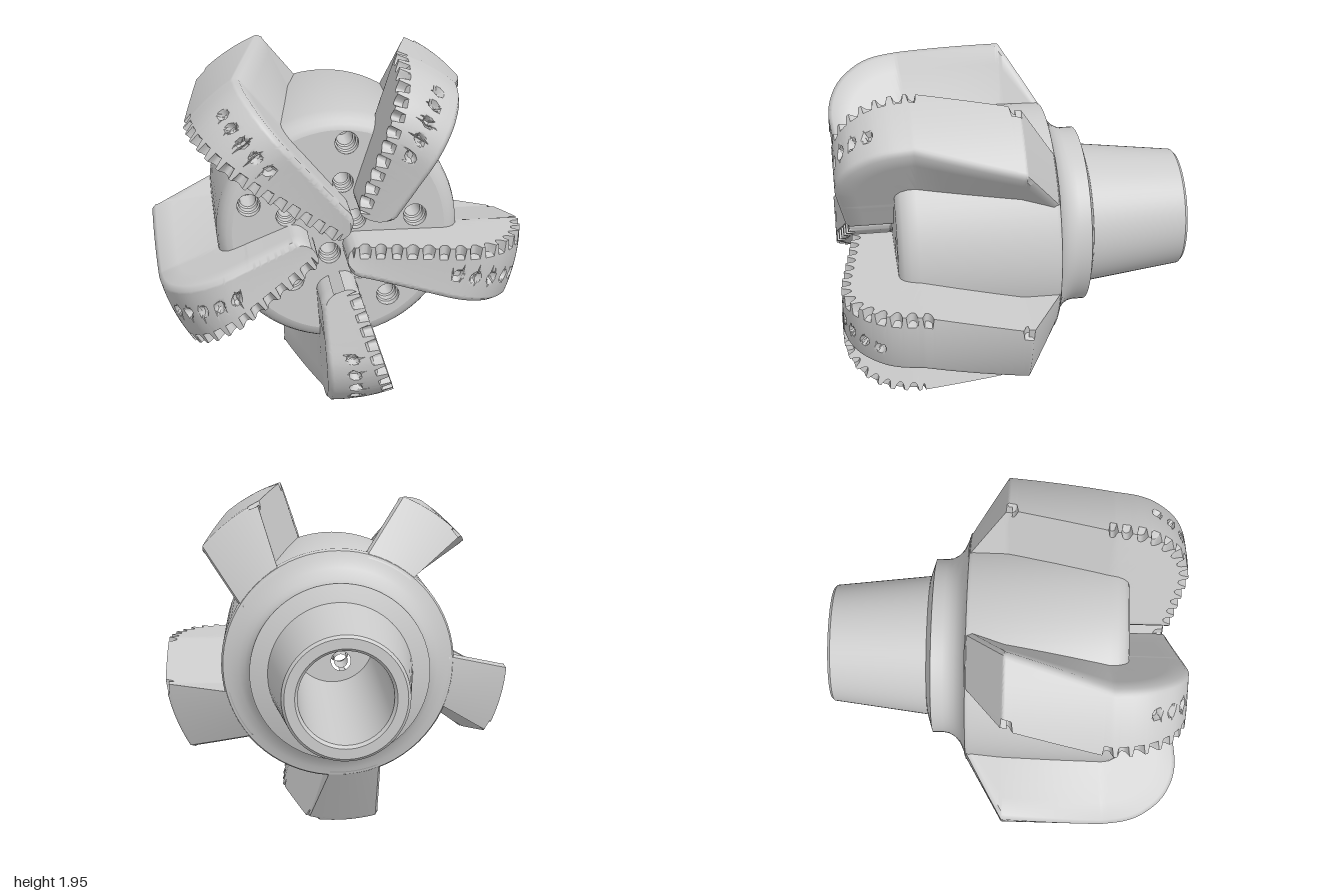
import * as THREE from 'three';
import { toCreasedNormals } from 'three/addons/utils/BufferGeometryUtils.js';

const { lerp, clamp } = THREE.MathUtils;
const V2 = (x, y) => new THREE.Vector2(x, y);
const grey = new THREE.MeshStandardMaterial({ color: 0xcccccc });
const greyDouble = new THREE.MeshStandardMaterial({ color: 0xcccccc, side: THREE.DoubleSide });

function addMesh(parent, name, geometry, material = grey) {
  const mesh = new THREE.Mesh(geometry, material);
  mesh.name = name;
  parent.add(mesh);
  return mesh;
}

// Revolve (radius, z) pairs about the z axis
function latheZ(points, segments = 72) {
  const g = new THREE.LatheGeometry(points.map(p => V2(...p)), segments);
  g.rotateX(Math.PI / 2);
  return toCreasedNormals(g, 0.6);
}

// Outer blade profile in (radius, z), from the tip over the nose and gauge to the back cone
function bladeProfile(r0) {
  const path = new THREE.CurvePath();
  path.add(new THREE.LineCurve(V2(r0, 0.884 + 0.16 * r0), V2(0.52, 0.967)));
  path.add(new THREE.SplineCurve([[0.52, 0.967], [0.65, 0.982], [0.76, 0.96], [0.86, 0.9], [0.94, 0.8],
    [0.98, 0.7], [1, 0.57]].map(p => V2(...p))));
  path.add(new THREE.LineCurve(V2(1, 0.57), V2(1, 0)));
  path.add(new THREE.LineCurve(V2(1, 0), V2(0.63, -0.218)));
  return path;
}

// Offset of the leading face, which swings back behind the nose
const leadOffset = z => 0.15 * clamp((0.57 - z) / 0.57, 0, 1);

// Where the leading face meets radius r at height z
function leadPoint(r, z) {
  const y = leadOffset(z);
  return V2(Math.sqrt(r * r - y * y), -y);
}

// Where the sloping trailing face y = -(a + b x) meets radius r at height z
function trailPoint(r, z) {
  const k = clamp((0.57 - z) / 0.57, 0, 1);
  const a = lerp(0.145, 0.094, k) + 0.07 * clamp(-z / 0.2, 0, 1);
  const b = lerp(0.25, 0.53, k);
  const q = 1 + b * b;
  const x = (-a * b + Math.sqrt(a * a * b * b - q * (a * a - r * r))) / q;
  return V2(x, -(a + b * x));
}

// One blade skinned over cross-sections; cutter pockets and small sockets are sunk into it
function bladeGeometry(r0) {
  const path = bladeProfile(r0), length = path.getLength();
  const n = Math.round(length / 0.0085), across = 22, wall = 5, round = 0.07, split = 0.5;
  const positions = [], index = [];
  const splitTrailX = trailPoint(split, 0.9).x;
  let row = 0;

  for (let i = 0; i <= n; i++) {
    const t = i / n, s = t * length;
    const p = path.getPoint(t), tan = path.getTangent(t);
    const r = p.x, z = p.y, nr = -tan.y, nz = tan.x;
    const tip = r < split && z > 0.5;
    let lead, trail, bend = 1;
    if (tip) {
      // rounded inner end
      const q = Math.max(0, round - (r - r0));
      const c = round - Math.sqrt(Math.max(0, round * round - q * q));
      bend = (r - r0) / (split - r0);
      const x = lerp(r0, splitTrailX, bend);
      lead = V2(r, -c);
      trail = V2(x, -(0.145 + 0.25 * x) + c);
    } else {
      lead = leadPoint(r, z);
      trail = trailPoint(r, z);
    }
    const width = lead.distanceTo(trail);

    // Point on the blade top: u from leading to trailing edge, d is depth below the skin
    const surface = (u, d) => {
      const v = lead.clone().lerp(trail, u), h = v.length() || 1e-6;
      const target = lerp(lead.length(), trail.length(), u);
      v.multiplyScalar(lerp(1, target / h, bend));
      const zz = tip ? z + 0.16 * (v.length() - r) : z;
      v.multiplyScalar(1 - d * nr / Math.max(r, 0.1));
      return [v.x, v.y, zz - d * nz];
    };
    // Point on a side wall: k = 0 at the skin, 1 buried in the core
    const side = (fn, u, d, k) => {
      if (tip) {
        const e = surface(u, d);
        return [e[0], e[1], lerp(e[2], 0.5, k)];
      }
      const rr = lerp(r - d * nr, split, k), zz = lerp(z - d * nz, Math.min(z, 0.5), k);
      const v = fn(rr, zz);
      return [v.x, v.y, zz];
    };

    // cutter pockets along the leading edge, plus one at the gauge corner
    const phase = ((s - 0.05) % 0.083 + 0.083) % 0.083 - 0.0415;
    const w = z > 0.53 && s > 0.03 ? phase / 0.028 : (z - 0.02) / 0.028;
    const inPocket = Math.abs(w) < 1 && (z > 0.53 || r > 0.98);
    const depth = inPocket ? 0.05 * Math.sqrt(1 - w * w) : 0;
    const u0 = inPocket ? Math.min(0.4, 0.062 / width) : 0;
    const fillet = Math.min(0.022, width * 0.2);

    const loop = [];
    for (let j = wall; j >= 0; j--) loop.push(side(leadPoint, 0, depth, j / wall));
    loop.push(surface(u0 * 0.8, depth * 0.95));
    for (let j = 0; j <= across; j++) {
      const u = lerp(u0, 1 - fillet / width, j / across);
      // small sockets behind the cutters
      let d = 0;
      for (let k = 0; k < 5; k++) {
        const dist = Math.hypot(s - (0.615 - r0 + 0.1 * k), u * width - (0.15 + 0.018 * k));
        d = Math.max(d, 0.035 * clamp((0.03 - dist) / 0.01, 0, 1));
      }
      loop.push(surface(u, d));
    }
    for (let j = 0; j <= wall; j++) loop.push(side(trailPoint, 1, fillet, j / wall));
    row = loop.length;
    loop.forEach(v => positions.push(...v));
  }
  for (let i = 0; i < n; i++) {
    for (let j = 0; j < row - 1; j++) {
      const a = i * row + j, b = a + row;
      index.push(a, a + 1, b, a + 1, b + 1, b);
    }
  }
  const g = new THREE.BufferGeometry();
  g.setAttribute('position', new THREE.Float32BufferAttribute(positions, 3));
  g.setIndex(index);
  return toCreasedNormals(g, 0.85);
}

function discWithHoles(radius, holes) {
  const shape = new THREE.Shape().absarc(0, 0, radius, 0, Math.PI * 2);
  for (const [x, y, r] of holes) shape.holes.push(new THREE.Path().absarc(x, y, r, 0, Math.PI * 2, true));
  return new THREE.ShapeGeometry(shape, 36);
}

export function createModel() {
  const model = new THREE.Group();
  const bit = new THREE.Group();
  bit.name = 'drillBit';
  bit.position.y = 1;
  model.add(bit);

  // Hollow tapered shank, collar and rounded core in one turned piece
  addMesh(bit, 'shankAndCore', latheZ([
    [0.25, 0.4], [0.25, -0.97], [0.265, -0.99], [0.32, -0.99], [0.335, -0.975], [0.4, -0.435],
    [0.42, -0.43], [0.5, -0.405], [0.5, -0.34], [0.505, -0.31], [0.525, -0.275], [0.56, -0.245],
    [0.61, -0.222], [0.65, -0.21], [0.66, -0.19], [0.65, 0.56], [0.643, 0.605], [0.625, 0.64],
    [0.6, 0.662], [0.57, 0.67],
  ]));

  // Core face with nozzle openings between the blades
  const large = [[0.04, 0.5], [0.41, 0.08], [0.27, -0.38], [-0.25, -0.27], [-0.48, 0.17]].map(p => [...p, 0.062]);
  const small = [[0.02, 0.28], [0.09, 0.07], [0.12, -0.22], [-0.28, 0.1]].map(p => [...p, 0.056]);
  const through = [-0.05, -0.12, 0.06];
  addMesh(bit, 'coreFace', discWithHoles(0.571, [...large, ...small, through])).position.z = 0.67;
  addMesh(bit, 'boreFloor', discWithHoles(0.26, [through]), greyDouble).position.z = 0.4;

  // Stepped nozzle bores
  for (const [x, y, r] of [...large, ...small, through]) {
    const steps = [[r, 0], [r, -0.04], [r * 0.85, -0.045], [r * 0.85, -0.09], [r * 0.7, -0.095], [r * 0.7, -0.27]];
    if (r !== through[2]) steps.push([0, -0.27]);
    addMesh(bit, 'nozzleBore', latheZ(steps, 28), greyDouble).position.set(x, y, 0.67);
  }

  // Five swept blades, reaching inward by different amounts
  [0.02, 0.19, 0.02, 0.13, 0.22].forEach((r0, i) => {
    addMesh(bit, 'blade' + (i + 1), bladeGeometry(r0)).rotation.z = i * Math.PI * 2 / 5;
  });
  return model;
}
